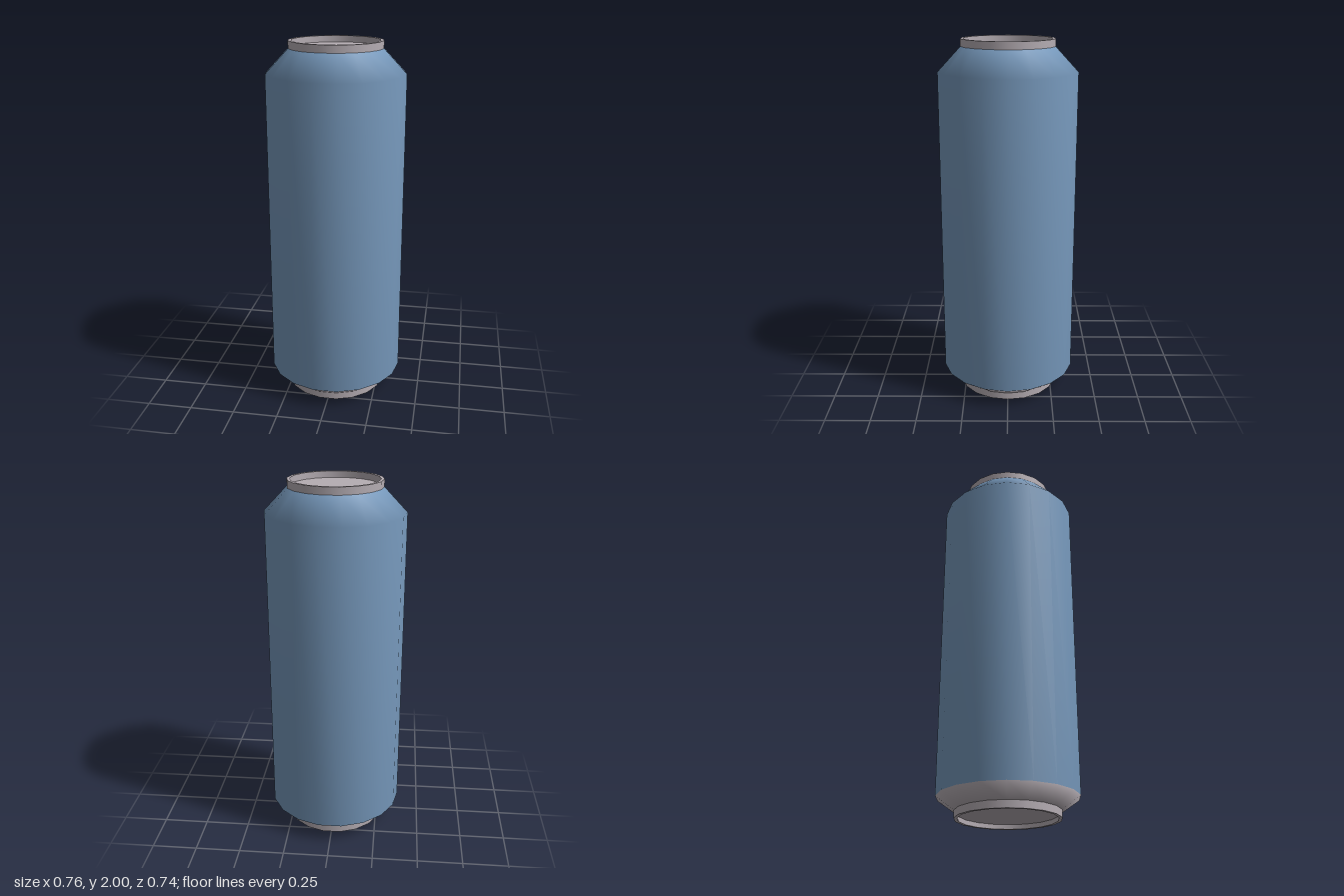
import * as THREE from 'three';

const SIDES = 18;

export function createModel() {
  const can = new THREE.Group();
  can.name = 'can';
  const blue = new THREE.MeshStandardMaterial({ color: 0x7698bb });
  blue.name = 'blue paint';
  const metal = new THREE.MeshStandardMaterial({ color: 0xb5adb3 });
  metal.name = 'bare metal';

  // Turned surface from [radius, height] points, with a corner on the x axis
  const turn = (points) => new THREE.LatheGeometry(
    points.map(([r, y]) => new THREE.Vector2(r, y)), SIDES, Math.PI / 2);
  const add = (name, geometry, material) => {
    const mesh = new THREE.Mesh(geometry, material);
    mesh.name = name;
    can.add(mesh);
  };

  // Body: metal lower taper, painted wall and shoulder, shaded as one skin
  const body = turn([[0.28, 0.04], [0.378, 0.11], [0.378, 1.83], [0.254, 1.96]]);
  for (let i = 0; i < SIDES; i++) {
    body.addGroup(i * 18, 6, 0);
    body.addGroup(i * 18 + 6, 12, 1);
  }
  add('body', body, [metal, blue]);

  // Hard-edged bands, each its own surface
  const bands = (name, points) => {
    for (let i = 0; i < points.length - 1; i++) {
      add(name + (i + 1), turn([points[i], points[i + 1]]), metal);
    }
  };

  // Top rim: outside, lip, inside wall, sunken lid
  bands('topRim', [[0.254, 1.96], [0.254, 2], [0.237, 2], [0.237, 1.965], [0, 1.965]]);

  // Foot: sunken base, inside wall, standing edge, outside
  bands('foot', [[0, 0.025], [0.262, 0.025], [0.262, 0], [0.28, 0], [0.28, 0.04]]);

  return can;
}
